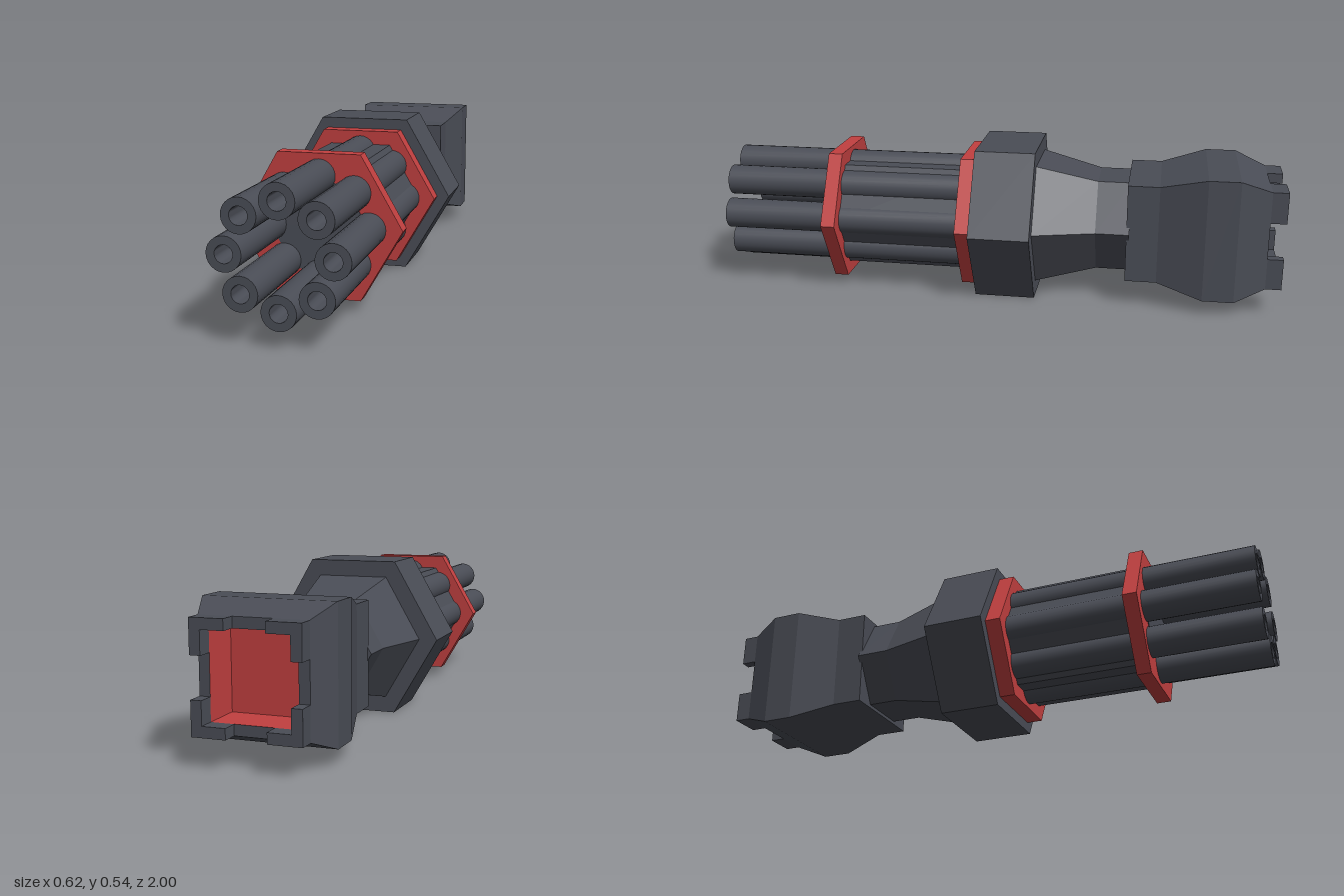
import * as THREE from 'three';
import { toCreasedNormals } from 'three/addons/utils/BufferGeometryUtils.js';

const AXIS_Y = 0.27;

export function createModel() {
  const model = new THREE.Group();
  const grey = new THREE.MeshStandardMaterial({ color: 0x4a4d56, flatShading: true });
  const red = new THREE.MeshStandardMaterial({ color: 0xc24040, flatShading: true });
  const smoothGrey = new THREE.MeshStandardMaterial({ color: 0x4a4d56 });

  function add(name, geometry, material, x = 0, y = 0, z = 0) {
    const mesh = new THREE.Mesh(geometry, material);
    mesh.name = name;
    mesh.position.set(x, AXIS_Y + y, z);
    model.add(mesh);
  }

  // Prism around the z axis from [radius, z] pairs, rear to front
  function turned(profile, sides, start) {
    const points = profile.map(([r, z]) => new THREE.Vector2(r, z));
    return new THREE.LatheGeometry(points, sides, start).rotateX(Math.PI / 2);
  }
  const hex = (profile) => turned(profile, 6, Math.PI / 2);
  // Square sections are given by half width
  const square = (profile) =>
    turned(profile.map(([h, z]) => [h * Math.SQRT2, z]), 4, Math.PI / 4);

  // Ring of eight barrels: open tubes in front, solid rods beside the core
  const tube = toCreasedNormals(
    turned([[0.028, 0.61], [0.054, 0.61], [0.054, 1], [0.028, 1], [0.028, 0.61]], 24, 0), 0.6);
  const rod = toCreasedNormals(
    turned([[0, 0.12], [0.054, 0.12], [0.054, 0.58], [0, 0.58]], 24, 0), 0.6);
  for (let i = 0; i < 8; i++) {
    const a = (i * Math.PI) / 4;
    const x = 0.162 * Math.cos(a), y = 0.162 * Math.sin(a);
    add('barrel', tube, smoothGrey, x, y);
    add('barrelRod', rod, smoothGrey, x, y);
  }

  // Hexagonal core, its narrow tip showing in the front plate
  add('core', hex([[0, 0.12], [0.215, 0.12], [0.215, 0.58], [0.163, 0.58], [0.163, 0.622], [0, 0.622]]), grey);

  // Red plates
  for (const [name, z0, z1] of [['frontPlate', 0.57, 0.62], ['rearPlate', 0.075, 0.135]]) {
    add(name, hex([[0, z0], [0.27, z0], [0.27, z1], [0, z1]]), red);
  }

  // Collar, tapering shoulder and neck
  add('collar', hex([[0, -0.135], [0.312, -0.135], [0.312, 0.08], [0, 0.08]]), grey);
  add('neck', hex([[0, -0.47], [0.188, -0.47], [0.188, -0.352], [0.248, -0.135], [0, -0.135]]), grey);

  // Square rear block with an open socket
  add('rearBlock', square([
    [0.14, -0.945], [0.175, -0.945], [0.217, -0.838], [0.217, -0.73],
    [0.175, -0.57], [0.175, -0.46], [0, -0.46],
  ]), grey);
  add('socketLining', square([[0, -0.81], [0.14, -0.81], [0.14, -0.945]]), red);

  // L-shaped prongs on the corners of the socket
  const L = new THREE.Shape([
    [0.175, 0.175], [0.065, 0.175], [0.065, 0.14], [0.14, 0.14], [0.14, 0.065], [0.175, 0.065],
  ].map(([x, y]) => new THREE.Vector2(x, y)));
  const prong = new THREE.ExtrudeGeometry(L, { depth: 0.055, bevelEnabled: false });
  for (let i = 0; i < 4; i++) {
    add('cornerProng', prong.clone().rotateZ((i * Math.PI) / 2), grey, 0, 0, -1);
  }

  return model;
}
